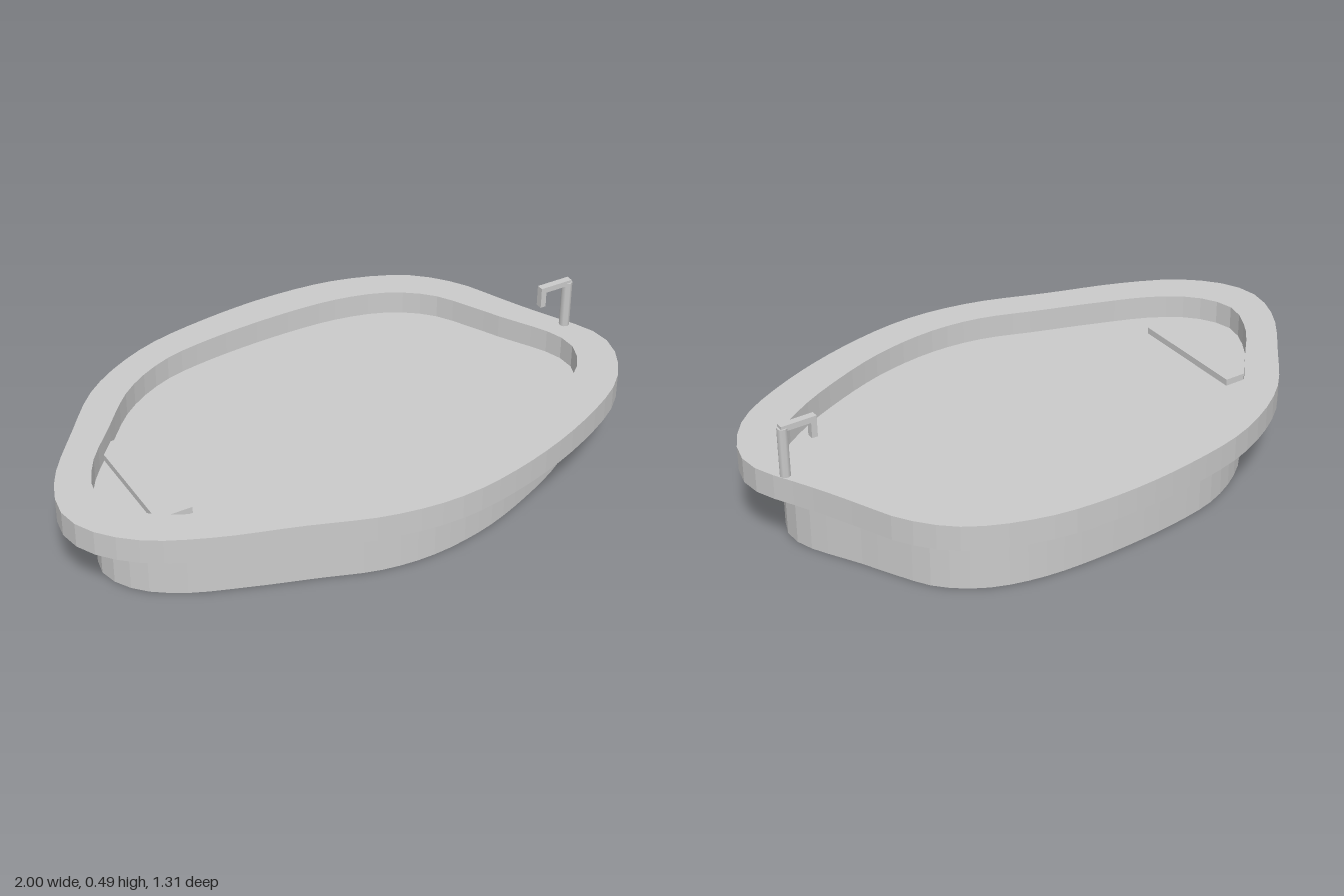
import * as THREE from 'three';

// The pool is a thin open shell, so both sides show
const grey = new THREE.MeshStandardMaterial({ color: 0xcacaca, side: THREE.DoubleSide });
grey.name = 'plain grey';

// Outlines seen from above, as x, z pairs
const OUTER = [
  [-1, .12], [-.958, -.03], [-.8, -.25], [-.636, -.44], [-.4, -.575], [-.13, -.635], [.165, -.655],
  [.41, -.628], [.635, -.535], [.76, -.4], [.83, -.25], [.88, -.14], [.935, -.03], [.985, .07], [1, .15],
  [.975, .25], [.88, .38], [.67, .505], [.38, .61], [.11, .655], [-.13, .63], [-.4, .54],
  [-.66, .455], [-.85, .36], [-.967, .235],
];
const INNER = [
  [-.87, .09], [-.82, -.05], [-.69, -.21], [-.54, -.375], [-.37, -.472], [-.18, -.512], [.14, -.531],
  [.35, -.517], [.51, -.47], [.635, -.378], [.72, -.235], [.77, -.135], [.825, -.04], [.868, .05], [.877, .13],
  [.83, .23], [.7, .33], [.51, .425], [.3, .5], [.08, .532], [-.1, .515], [-.29, .452],
  [-.5, .382], [-.7, .302], [-.82, .208],
];

// Smooth closed outline in the plane x, -z
function outline(points) {
  const curve = new THREE.CatmullRomCurve3(points.map(([x, z]) => new THREE.Vector3(x, -z, 0)), true);
  return curve.getSpacedPoints(72).slice(0, -1).map(p => new THREE.Vector2(p.x, p.y));
}

// Flat horizontal sheet at height y, with an optional hole
function sheet(ring, y, hole) {
  const shape = new THREE.Shape(ring);
  if (hole) shape.holes.push(new THREE.Path(hole));
  return new THREE.ShapeGeometry(shape).rotateX(-Math.PI / 2).translate(0, y, 0);
}

// Upright faceted band that follows an outline, facing outward
function band(ring, bottom, top) {
  const positions = [];
  ring.forEach((a, i) => {
    const b = ring[(i + 1) % ring.length];
    positions.push(
      b.x, bottom, -b.y, a.x, bottom, -a.y, a.x, top, -a.y,
      b.x, bottom, -b.y, a.x, top, -a.y, b.x, top, -b.y,
    );
  });
  const geometry = new THREE.BufferGeometry();
  geometry.setAttribute('position', new THREE.Float32BufferAttribute(positions, 3));
  geometry.computeVertexNormals();
  return geometry;
}

export function createModel() {
  const model = new THREE.Group();
  model.name = 'pool';
  const add = (name, geometry, parent = model) => {
    const mesh = new THREE.Mesh(geometry, grey);
    mesh.name = name;
    parent.add(mesh);
  };
  const outer = outline(OUTER);
  const inner = outline(INNER);

  // Basin: wall, floor and water surface
  add('basinWall', band(inner, 0, .31));
  add('basinFloor', sheet(inner, 0));
  add('waterSurface', sheet(inner, .227));

  // Rim: flat top with a skirt hanging from its edge, open below
  add('rimTop', sheet(outer, .31, inner));
  add('rimSkirt', band(outer, .223, .31));

  // Entry step at the narrow end, just breaking the surface
  add('entryStep', new THREE.BoxGeometry(.124, .21, .44).translate(-.671, .145, .002));

  // Spout standing on the rim
  const spout = new THREE.Group();
  spout.name = 'spout';
  spout.position.z = .005;
  model.add(spout);
  add('spoutPost', new THREE.CylinderGeometry(.018, .018, .17, 8).translate(.933, .395, 0), spout);
  add('spoutArm', new THREE.BoxGeometry(.122, .02, .024).translate(.881, .48, 0), spout);
  add('spoutNozzle', new THREE.BoxGeometry(.02, .068, .024).translate(.83, .45, 0), spout);

  return model;
}
